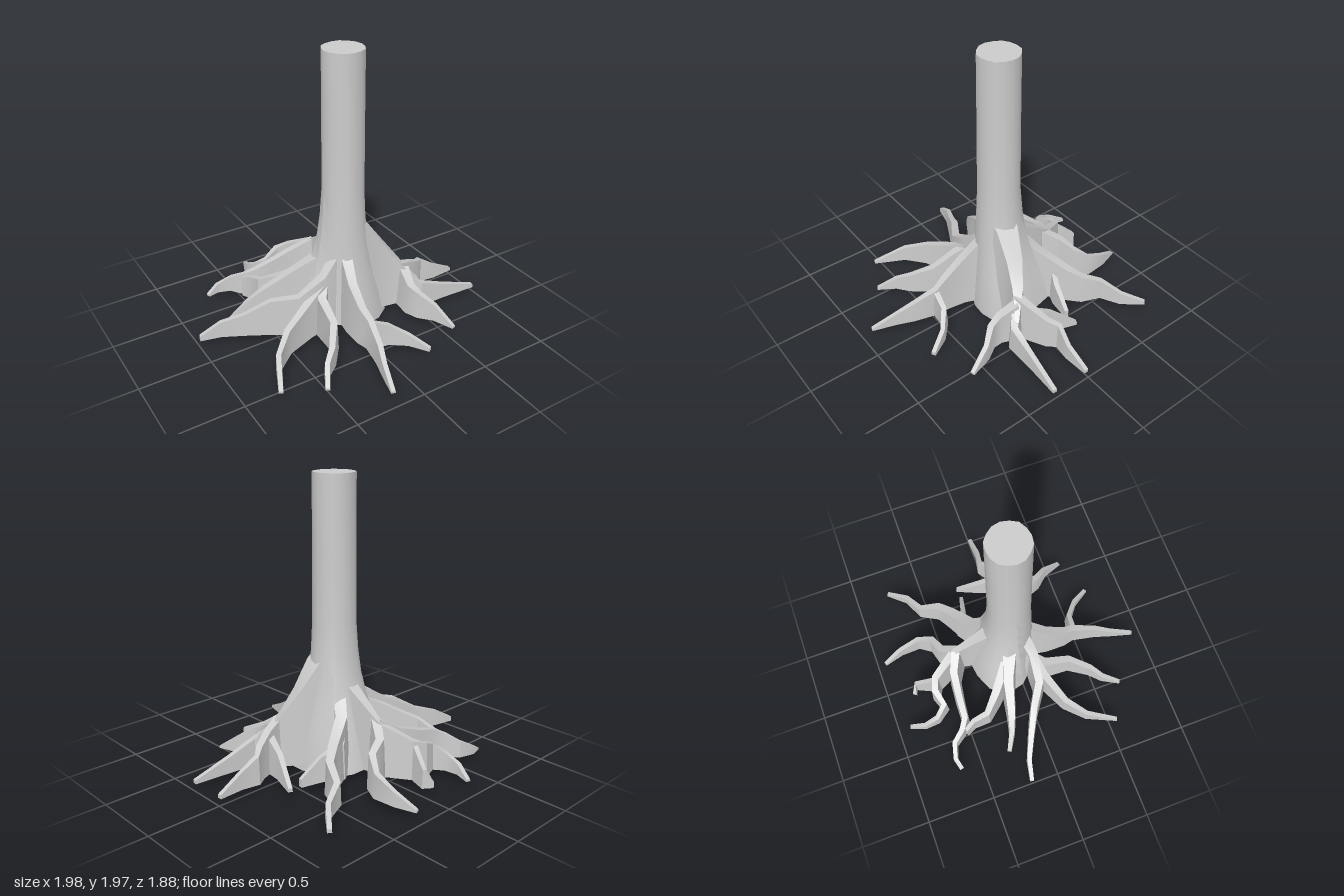
import * as THREE from 'three';
import { toCreasedNormals } from 'three/addons/utils/BufferGeometryUtils.js';

const material = new THREE.MeshStandardMaterial({ color: 0xcccccc });

// Skin a list of equal-length rings of [x, y, z] and close both ends
function loft(rings) {
  const n = rings[0].length, pos = [], idx = [];
  rings.forEach(r => r.forEach(p => pos.push(...p)));
  for (let i = 0; i < rings.length - 1; i++) {
    for (let k = 0; k < n; k++) {
      const a = i * n + k, b = i * n + (k + 1) % n;
      idx.push(a, a + n, b + n, a, b + n, b);
    }
  }
  [0, rings.length - 1].forEach(i => {
    const centre = [0, 1, 2].map(c => rings[i].reduce((s, p) => s + p[c], 0) / n);
    const m = pos.length / 3;
    pos.push(...centre);
    for (let k = 0; k < n; k++) {
      const a = i * n + k, b = i * n + (k + 1) % n;
      if (i === 0) idx.push(m, a, b); else idx.push(m, b, a);
    }
  });
  const g = new THREE.BufferGeometry();
  g.setAttribute('position', new THREE.Float32BufferAttribute(pos, 3));
  g.setIndex(idx);
  return toCreasedNormals(g, 0.6);
}

// Trunk: round shaft that flares into an uneven base outline (radius every 22.5 degrees)
const outline = [0.30, 0.31, 0.27, 0.23, 0.21, 0.2, 0.2, 0.24, 0.31, 0.37, 0.36, 0.33, 0.32, 0.35, 0.37, 0.31];
const levels = [ // height, shaft radius, share of base flare
  [0.04, 0.14, 1], [0.2, 0.14, 0.8], [0.35, 0.145, 0.56], [0.5, 0.15, 0.32],
  [0.65, 0.152, 0.14], [0.8, 0.15, 0.05], [1.0, 0.145, 0], [1.5, 0.141, 0], [1.975, 0.139, 0],
];
function trunkGeometry() {
  return loft(levels.map(([y, r, flare], i) => outline.map((base, k) => {
    const a = k / outline.length * Math.PI * 2;
    const rad = r + (base - r) * flare + 0.003 * Math.sin(k * 2.3 + i * 0.4);
    const dip = i === 0 ? 0.04 * Math.max(0, Math.cos(a - 0.75)) : 0;
    return [0.028 + Math.cos(a) * rad, y - dip, -0.004 + Math.sin(a) * rad];
  })));
}

// Root: an upright fin along a path of [x, z, ridge height], tapering to its tip
function rootGeometry(path, startWidth) {
  const last = path.length - 1;
  return loft(path.map(([x, z, top], i) => {
    const p = path[Math.max(0, i - 1)], q = path[Math.min(last, i + 1)];
    const len = Math.hypot(q[0] - p[0], q[1] - p[1]);
    const nx = -(q[1] - p[1]) / len, nz = (q[0] - p[0]) / len;
    const t = i / last;
    const w = 0.014 + (startWidth - 0.014) * (1 - t) ** 1.5;
    const foot = w * (1.6 - 0.5 * t), y0 = 0.045;
    return [[foot, y0], [w, top], [-w, top], [-foot, y0]]
      .map(([s, y]) => [x + nx * s, y, z + nz * s]);
  }));
}

const roots = {
  // left side (+x): one heavy buttress with four branches
  leftButtress: [0.1, [[0.05, 0.02, 0.84], [0.18, 0.04, 0.74], [0.3, 0.07, 0.56], [0.4, 0.12, 0.41], [0.46, 0.17, 0.32], [0.52, 0.22, 0.25]]],
  leftFrontRoot: [0.032, [[0.43, 0.15, 0.33], [0.53, 0.25, 0.23], [0.72, 0.26, 0.16], [0.99, 0.28, 0.07]]],
  leftFrontBranch: [0.035, [[0.44, 0.16, 0.34], [0.41, 0.29, 0.27], [0.43, 0.37, 0.24], [0.5, 0.46, 0.17], [0.55, 0.61, 0.06]]],
  leftRoot: [0.03, [[0.4, 0.14, 0.38], [0.53, 0.1, 0.33], [0.64, 0.05, 0.27], [0.7, 0, 0.24], [0.82, 0.02, 0.16], [0.99, 0.01, 0.07]]],
  leftBackBranch: [0.026, [[0.51, 0.12, 0.31], [0.55, -0.05, 0.22], [0.62, -0.23, 0.07]]],
  // back left
  backLeftRoot: [0.045, [[0.06, -0.07, 0.66], [0.19, -0.24, 0.43], [0.37, -0.35, 0.32], [0.46, -0.42, 0.27], [0.52, -0.55, 0.2], [0.66, -0.62, 0.14], [0.77, -0.75, 0.07]]],
  backLeftBranch: [0.035, [[0.17, -0.22, 0.36], [0.26, -0.31, 0.29], [0.38, -0.25, 0.22], [0.53, -0.22, 0.1]]],
  // back
  backButtress: [0.06, [[0.03, -0.05, 0.72], [0.03, -0.17, 0.6], [0.03, -0.31, 0.5], [0.03, -0.42, 0.42], [0, -0.5, 0.37]]],
  backRoot: [0.032, [[0.03, -0.4, 0.42], [0.11, -0.51, 0.34], [0.22, -0.55, 0.29], [0.28, -0.65, 0.21], [0.27, -0.8, 0.14], [0.23, -0.94, 0.06]]],
  backHookRoot: [0.03, [[0.02, -0.45, 0.4], [-0.08, -0.62, 0.31], [-0.16, -0.65, 0.28], [-0.27, -0.62, 0.23], [-0.33, -0.7, 0.17], [-0.34, -0.8, 0.12], [-0.3, -0.91, 0.06]]],
  backHookBranch: [0.018, [[-0.09, -0.62, 0.3], [-0.03, -0.77, 0.17], [-0.08, -0.8, 0.09]]],
  backRightRoot: [0.03, [[0.02, -0.42, 0.42], [-0.1, -0.48, 0.35], [-0.27, -0.5, 0.29], [-0.42, -0.51, 0.25], [-0.49, -0.56, 0.21], [-0.55, -0.64, 0.16], [-0.65, -0.67, 0.11], [-0.73, -0.65, 0.06]]],
  backRightBranch: [0.035, [[-0.15, -0.08, 0.46], [-0.35, -0.25, 0.33], [-0.45, -0.35, 0.27], [-0.46, -0.46, 0.23], [-0.5, -0.53, 0.2]]],
  // right side (-x)
  rightBackRoot: [0.06, [[0, -0.02, 0.64], [-0.14, -0.06, 0.53], [-0.3, -0.13, 0.42], [-0.5, -0.18, 0.31], [-0.62, -0.22, 0.22], [-0.73, -0.28, 0.08]]],
  rightRoot: [0.04, [[-0.05, 0.06, 0.6], [-0.2, 0.1, 0.45], [-0.38, 0.08, 0.34], [-0.54, -0.02, 0.31], [-0.7, -0.1, 0.21], [-0.85, -0.17, 0.16], [-0.99, -0.2, 0.08]]],
  rightFrontRoot: [0.035, [[-0.08, 0.07, 0.48], [-0.34, 0.14, 0.31], [-0.55, 0.23, 0.22], [-0.68, 0.35, 0.16], [-0.78, 0.56, 0.06]]],
  // front
  frontRightRoot: [0.035, [[-0.17, 0.06, 0.42], [-0.25, 0.18, 0.33], [-0.27, 0.36, 0.26], [-0.37, 0.5, 0.19], [-0.45, 0.57, 0.14], [-0.52, 0.69, 0.06]]],
  frontRoot: [0.042, [[0, 0.06, 0.64], [-0.03, 0.15, 0.54], [-0.06, 0.26, 0.43], [-0.07, 0.4, 0.32], [-0.06, 0.48, 0.27], [-0.1, 0.65, 0.2], [-0.14, 0.76, 0.14], [-0.19, 0.93, 0.06]]],
  frontBranch: [0.02, [[-0.06, 0.48, 0.26], [0.07, 0.5, 0.2], [0.18, 0.59, 0.13], [0.26, 0.72, 0.07]]],
};

export function createModel() {
  const tree = new THREE.Group();
  tree.name = 'treeStump';
  const add = (name, geometry) => {
    const mesh = new THREE.Mesh(geometry, material);
    mesh.name = name;
    tree.add(mesh);
  };
  add('trunk', trunkGeometry());
  for (const [name, [width, path]] of Object.entries(roots)) add(name, rootGeometry(path, width));
  return tree;
}
